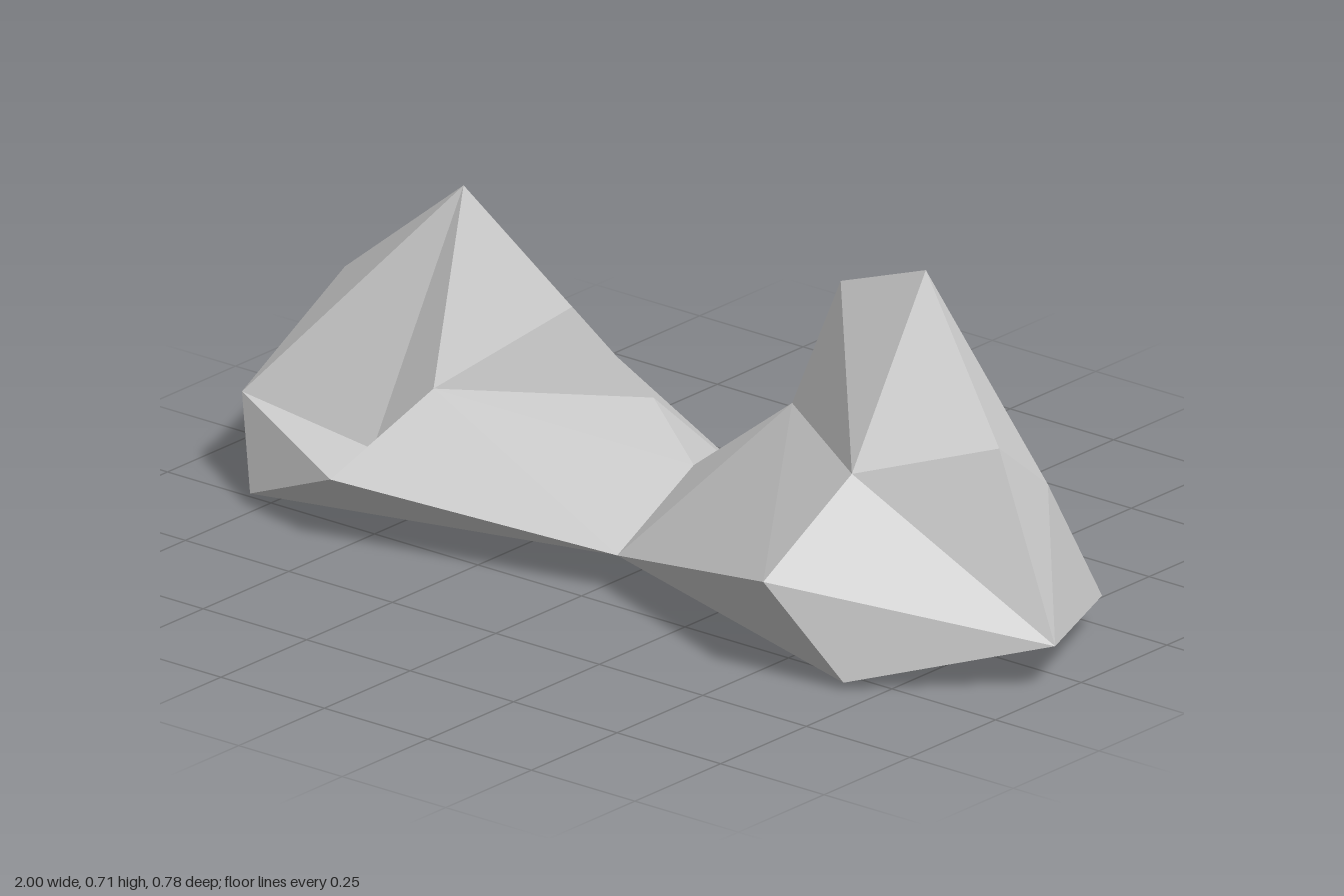
import * as THREE from 'three';
import { ConvexGeometry } from 'three/addons/geometries/ConvexGeometry.js';

// Corner points shared by neighbouring facets of the rock
const P = {
  // waist between the two lobes
  waistTop: [0.085, 0.215, 0.025], waistFront: [0.045, 0.077, 0.2],
  waistBack: [0.078, 0.09, -0.2], waistUnder: [0.13, 0.015, -0.02],
  // tall lobe (+x)
  peak: [0.6, 0.715, -0.03], crest: [0.39, 0.64, -0.035], saddle: [0.31, 0.39, 0.01],
  brow: [0.62, 0.385, 0.21], belly: [0.555, 0.207, 0.39], frontFoot: [0.685, 0.015, 0.313],
  tip: [1.0, 0.095, 0.076], sideHigh: [0.85, 0.447, 0.058], sideMid: [0.845, 0.33, -0.09],
  sideFoot: [0.86, 0.07, -0.23], ledgeOut: [0.775, 0.2, -0.216], ledgeIn: [0.32, 0.243, -0.19],
  ledgeBack: [0.46, 0.183, -0.3], backFoot: [0.58, 0.018, -0.215],
  // low lobe (-x)
  top: [-0.53, 0.6, -0.046], outerHigh: [-0.82, 0.365, -0.05], end: [-1.0, 0.07, -0.03],
  rearHigh: [-0.525, 0.4, -0.168], rearStep: [-0.385, 0.22, -0.31], rearEdge: [-0.62, 0.182, -0.394],
  rearFoot: [-0.345, 0.03, -0.388], cornerFoot: [-0.835, 0, -0.243],
  innerHigh: [-0.255, 0.43, -0.03], innerLow: [-0.12, 0.26, -0.105],
  cheek: [-0.87, 0.175, 0.19], notch: [-0.55, 0.14, 0.195], fold: [-0.432, 0.28, 0.16],
  toe: [-0.77, 0.025, 0.287], toeTop: [-0.52, 0.135, 0.355],
};

// Convex chunks that join along their shared corners
const CHUNKS = {
  tallPeak: 'peak crest saddle brow sideHigh sideMid ledgeIn tip',
  tallShoulder: 'waistTop waistFront waistBack saddle ledgeIn brow belly backFoot',
  tallBase: 'waistTop waistFront waistBack waistUnder brow belly frontFoot tip sideMid sideFoot ledgeOut ledgeIn ledgeBack backFoot',
  lowPeakOuter: 'top outerHigh rearHigh rearStep notch cheek end cornerFoot',
  lowPeakInner: 'top rearHigh rearStep innerHigh innerLow fold notch',
  lowRear: 'end cornerFoot rearFoot rearEdge outerHigh rearStep waistBack waistUnder cheek toe',
  lowToe: 'end cheek toe toeTop notch cornerFoot waistFront',
  lowArm: 'toeTop fold notch innerLow waistTop waistFront waistBack waistUnder rearStep rearFoot',
  lowSole: 'cornerFoot toe rearFoot waistFront waistUnder waistBack',
};

export function createModel() {
  const rock = new THREE.Group();
  rock.name = 'rock';
  const stone = new THREE.MeshStandardMaterial({ color: 0xcccccc, flatShading: true });
  for (const [name, corners] of Object.entries(CHUNKS)) {
    const points = corners.split(' ').map((key) => new THREE.Vector3(...P[key]));
    const chunk = new THREE.Mesh(new ConvexGeometry(points), stone);
    chunk.name = name;
    rock.add(chunk);
  }
  return rock;
}
